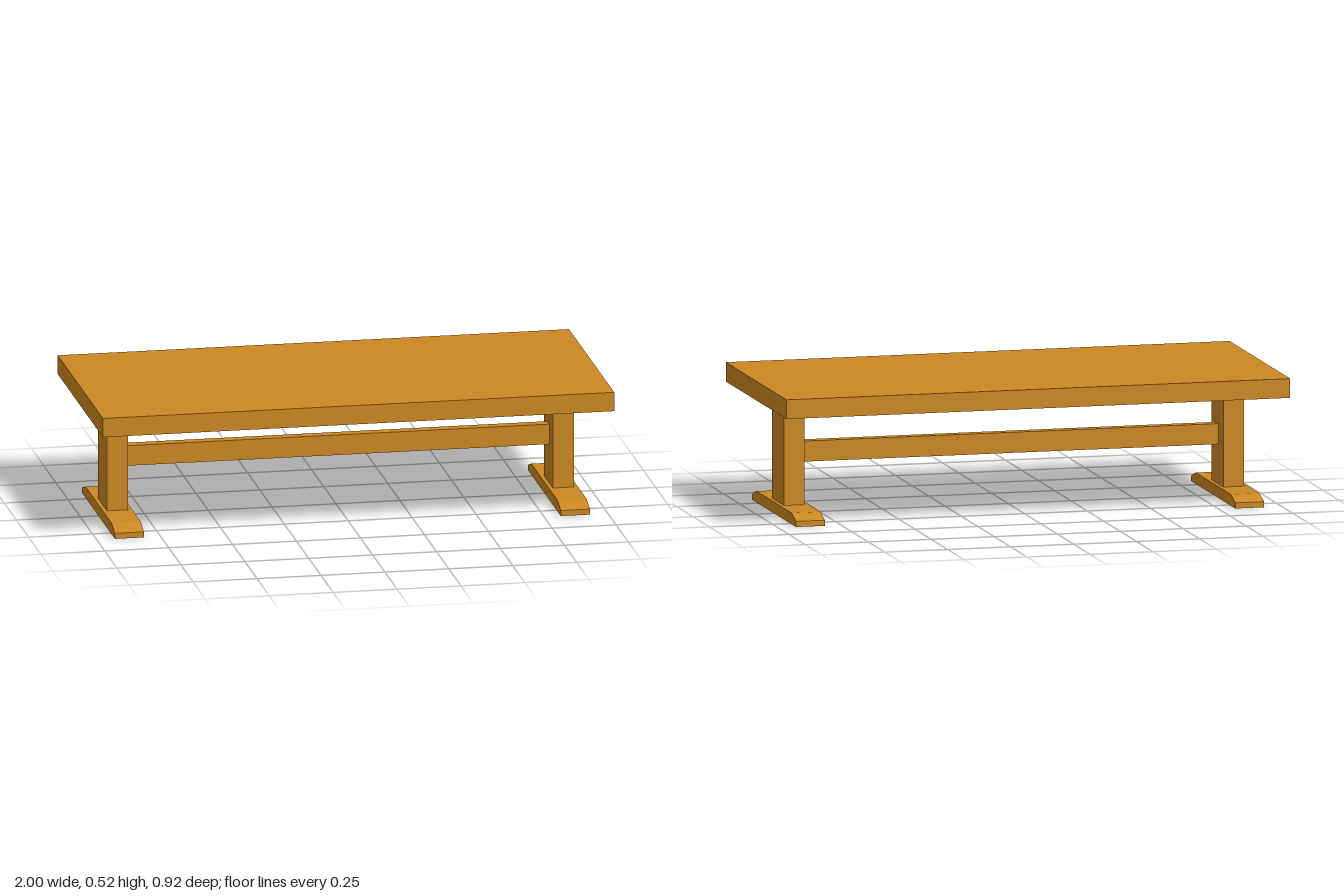
import * as THREE from 'three';

export function createModel() {
  const model = new THREE.Group();
  model.name = 'trestleTable';

  const wood = new THREE.MeshStandardMaterial({ color: 0xcc8822 });
  wood.name = 'warm wood';

  const add = (name, geometry, x, y, z) => {
    const mesh = new THREE.Mesh(geometry, wood);
    mesh.name = name;
    mesh.position.set(x, y, z);
    model.add(mesh);
  };

  // Slab top
  add('tableTop', new THREE.BoxGeometry(2, 0.075, 0.924), 0, 0.4805, 0);

  // Long rail joining the two posts
  add('stretcher', new THREE.BoxGeometry(1.664, 0.08, 0.042), 0, 0.24, 0);

  // Foot profile with sloped ends, extruded across its width
  const footWidth = 0.114;
  const profile = new THREE.Shape([
    [-0.336, 0], [0.336, 0], [0.336, 0.022],
    [0.268, 0.044], [-0.268, 0.044], [-0.336, 0.022],
  ].map(([z, y]) => new THREE.Vector2(z, y)));
  const foot = new THREE.ExtrudeGeometry(profile, { depth: footWidth, bevelEnabled: false });
  foot.translate(0, 0, -footWidth / 2).rotateY(Math.PI / 2);

  const post = new THREE.BoxGeometry(0.082, 0.399, 0.181);

  // One post and foot at each end
  for (const [side, s] of [['left', 1], ['right', -1]]) {
    add(side + 'Post', post, s * 0.872, 0.2435, 0);
    add(side + 'Foot', foot, s * 0.872, 0, 0);
  }

  return model;
}
